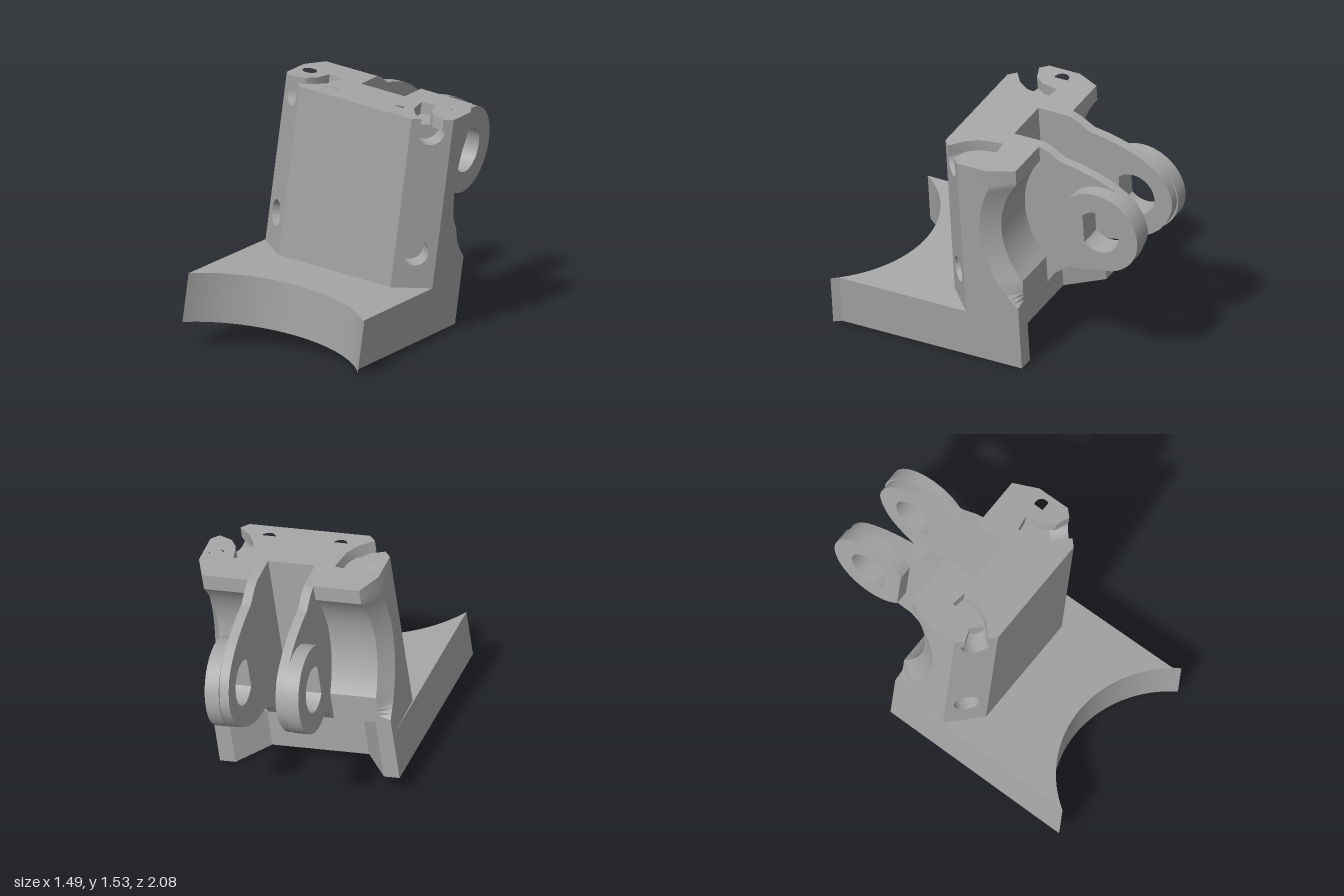
import * as THREE from 'three';
import { toCreasedNormals } from 'three/addons/utils/BufferGeometryUtils.js';

const HALF = 0.575, TOP = 1.46, CAP = 1.385, BASE = 0.075, DECK = 0.387, NOTCH = 0.48;
const BACK = -0.304, MID = -0.07, HUB = { w: -0.73, v: 1.01 };

const shapeOf = (pts) => new THREE.Shape(pts.map(([x, y]) => new THREE.Vector2(x, y)));
const flip = (pts) => pts.map(([x, y]) => [-x, y]).reverse();
// closed outline that is symmetric across the centre plane
const symmetric = (pts) => shapeOf([...pts, ...flip(pts)]);
const circle = (x, y, r) => new THREE.Path().absarc(x, y, r, 0, Math.PI * 2, true);
const smooth = (g) => toCreasedNormals(g.index ? g.toNonIndexed() : g, 0.5);
const extrude = (shape, depth) =>
  new THREE.ExtrudeGeometry(shape, { depth, bevelEnabled: false, curveSegments: 28 });

// plan outline (across, forward) raised from v0 to v1
const raise = (shape, v0, v1) => smooth(extrude(shape, v1 - v0).rotateX(Math.PI / 2).translate(0, v1, 0));
// side outline (forward, up) spread from u0 to u1
const spread = (shape, u0, u1) => smooth(extrude(shape, u1 - u0).rotateY(-Math.PI / 2).translate(u1, 0, 0));

function mirrored(geo) {
  const g = geo.clone().scale(-1, 1, 1);
  const p = g.attributes.position, a = new THREE.Vector3(), b = new THREE.Vector3();
  for (let i = 0; i < p.count; i += 3) {
    a.fromBufferAttribute(p, i + 1);
    b.fromBufferAttribute(p, i + 2);
    p.setXYZ(i + 1, b.x, b.y, b.z);
    p.setXYZ(i + 2, a.x, a.y, a.z);
  }
  return smooth(g);
}

// flared outer rim of the round recess: two back edges joined, plus the side wall
function flareGeometry(u0, u1) {
  const n = 36, pos = [];
  const edge = (v, r, topLimit) => {
    const d = r * r - (v - HUB.v) ** 2;
    const arc = d > 0 ? HUB.w + Math.sqrt(d) : BACK;
    return Math.max(arc, v > HUB.v ? topLimit : BACK);
  };
  const quad = (a, b, c, d) => pos.push(...a, ...b, ...c, ...a, ...c, ...d);
  for (let i = 0; i < n; i++) {
    const [p, q] = [i, i + 1].map((k) => {
      const v = NOTCH + (CAP - NOTCH) * k / n;
      return { in: [u0, v, edge(v, 0.55, BACK)], out: [u1, v, edge(v, 0.66, -0.151)], side: [u1, v, MID] };
    });
    quad(p.out, p.in, q.in, q.out);
    quad(p.side, p.out, q.out, q.side);
  }
  const g = new THREE.BufferGeometry();
  g.setAttribute('position', new THREE.Float32BufferAttribute(pos, 3));
  g.computeVertexNormals();
  return smooth(g);
}

// opening with one flat side, for the pivot
function pivotHole() {
  const r = 0.14, a = Math.acos(0.1 / r);
  return new THREE.Path().absarc(HUB.w, HUB.v, r, a, Math.PI * 2 - a, false).closePath();
}

export function createModel() {
  const grey = new THREE.MeshStandardMaterial({ color: 0xa6a6a6 });
  grey.name = 'grey';
  const body = new THREE.Group();
  body.name = 'bracket';
  const add = (name, geo) => {
    const m = new THREE.Mesh(geo, grey);
    m.name = name;
    body.add(m);
  };
  const addPair = (name, geo) => {
    add(name + 'Left', geo);
    add(name + 'Right', mirrored(geo));
  };

  // base plate with a curved front and a notched back, blind hole underneath
  const rearNotch = [[HALF, BACK], [0.475, BACK], [0.31, -0.1]];
  const plate = () => {
    const s = new THREE.Shape();
    const a = Math.atan2(0.464, 0.555);
    s.moveTo(-HALF, 0.93);
    s.absarc(0, 1.394, 0.735, Math.PI + a * 0.87, Math.PI * 2 - a * 0.87, false);
    s.lineTo(HALF, 0.93);
    [...rearNotch, ...flip(rearNotch)].forEach(([x, y]) => s.lineTo(x, y));
    s.closePath();
    return s;
  };
  const lower = plate();
  lower.holes.push(circle(0, 0.42, 0.07));
  add('basePlateBottom', raise(lower, BASE, 0.24));
  add('basePlateTop', raise(plate(), 0.24, DECK));
  add('towerFoot', raise(symmetric([[HALF, 0.06], ...rearNotch]), DECK, NOTCH));

  // tower core, set back behind the drilled corner slabs
  const a = [0.385, 0.243], b = [HALF, 0.06];
  const len = Math.hypot(b[0] - a[0], b[1] - a[1]);
  const nx = (a[1] - b[1]) / len, nz = (b[0] - a[0]) / len, deep = 0.12;
  add('towerCore', raise(symmetric([
    a, [a[0] - nx * deep, a[1] - nz * deep], [b[0] - nx * deep, b[1] - nz * deep], b,
    [HALF, MID], [0.15, MID], [0.15, -0.1],
  ]), DECK, CAP));

  // corner slabs with a lower screw hole and an upper seat open to the top
  const slab = new THREE.Shape();
  slab.moveTo(-len / 2, DECK);
  slab.lineTo(len / 2, DECK);
  slab.lineTo(len / 2, CAP);
  slab.lineTo(0.088, CAP);
  slab.absarc(0, CAP, 0.088, 0, Math.PI, true);
  slab.lineTo(-len / 2, CAP);
  slab.closePath();
  slab.holes.push(circle(0, 0.61, 0.08));
  const slabGeo = extrude(slab, deep).translate(0, 0, -deep)
    .rotateY(Math.atan2(nx, nz)).translate((a[0] + b[0]) / 2, 0, (a[1] + b[1]) / 2);
  addPair('cornerSlab', smooth(slabGeo));

  // tower top with curved channels, rear slot and four holes
  const cap = symmetric([
    a, [0.43, 0.2], [0.35, 0.135], [0.3, 0.06], [0.273, -0.09], [0.37, -0.105], [0.395, 0.01],
    [0.44, 0.07], [0.53, 0.104], b, [HALF, -0.151], [0.503, BACK], [0.15, BACK], [0.15, -0.1],
  ]);
  for (const s of [-1, 1]) cap.holes.push(circle(s * 0.49, -0.073, 0.045), circle(s * 0.23, 0.128, 0.048));
  add('towerTop', raise(cap, CAP, TOP));

  // round recess behind the tower, with flared rims
  const recess = new THREE.Shape();
  recess.moveTo(MID, NOTCH);
  recess.lineTo(BACK, NOTCH);
  recess.absarc(HUB.w, HUB.v, 0.55, -0.685, 0.685, false);
  recess.lineTo(BACK, CAP);
  recess.lineTo(MID, CAP);
  recess.closePath();
  addPair('recess', spread(recess, 0.21, 0.503));
  addPair('recessRim', flareGeometry(0.503, HALF));

  // pivot arms reaching back
  const arm = new THREE.Shape();
  arm.moveTo(-0.06, NOTCH);
  [[BACK, NOTCH], [-0.36, 0.56], [-0.46, 0.635]].forEach(([x, y]) => arm.lineTo(x, y));
  arm.splineThru([[-0.6, 0.65], [-0.75, 0.705], [-0.91, 0.82], [-0.99, 1.0], [-0.93, 1.18],
    [-0.78, 1.29], [-0.6, 1.355], [-0.45, 1.385]].map(([x, y]) => new THREE.Vector2(x, y)));
  [[-0.36, 1.44], [BACK, TOP], [-0.12, TOP], [-0.12, CAP], [-0.06, CAP]].forEach(([x, y]) => arm.lineTo(x, y));
  arm.closePath();
  arm.holes.push(pivotHole());
  addPair('pivotArm', spread(arm, 0.15, 0.21));

  // thick pads around the pivot holes, flat on the front side
  const cut = Math.acos(0.21 / 0.27);
  const pad = new THREE.Shape();
  pad.absarc(HUB.w, HUB.v, 0.27, cut, Math.PI * 2 - cut, false);
  pad.closePath();
  pad.holes.push(pivotHole());
  addPair('pivotPad', spread(pad, 0.21, 0.3));

  // the whole bracket leans and turns slightly
  const w = new THREE.Vector3(-0.135, 0.012, 0.99).normalize();
  const v = new THREE.Vector3(0.13, 0.99, 0.006);
  const u = v.clone().cross(w).normalize();
  v.copy(w).cross(u);
  body.quaternion.setFromRotationMatrix(new THREE.Matrix4().makeBasis(u, v, w));
  body.position.copy(u).multiplyScalar(-0.053);
  const model = new THREE.Group();
  model.name = 'leaningBracket';
  model.add(body);
  return model;
}
